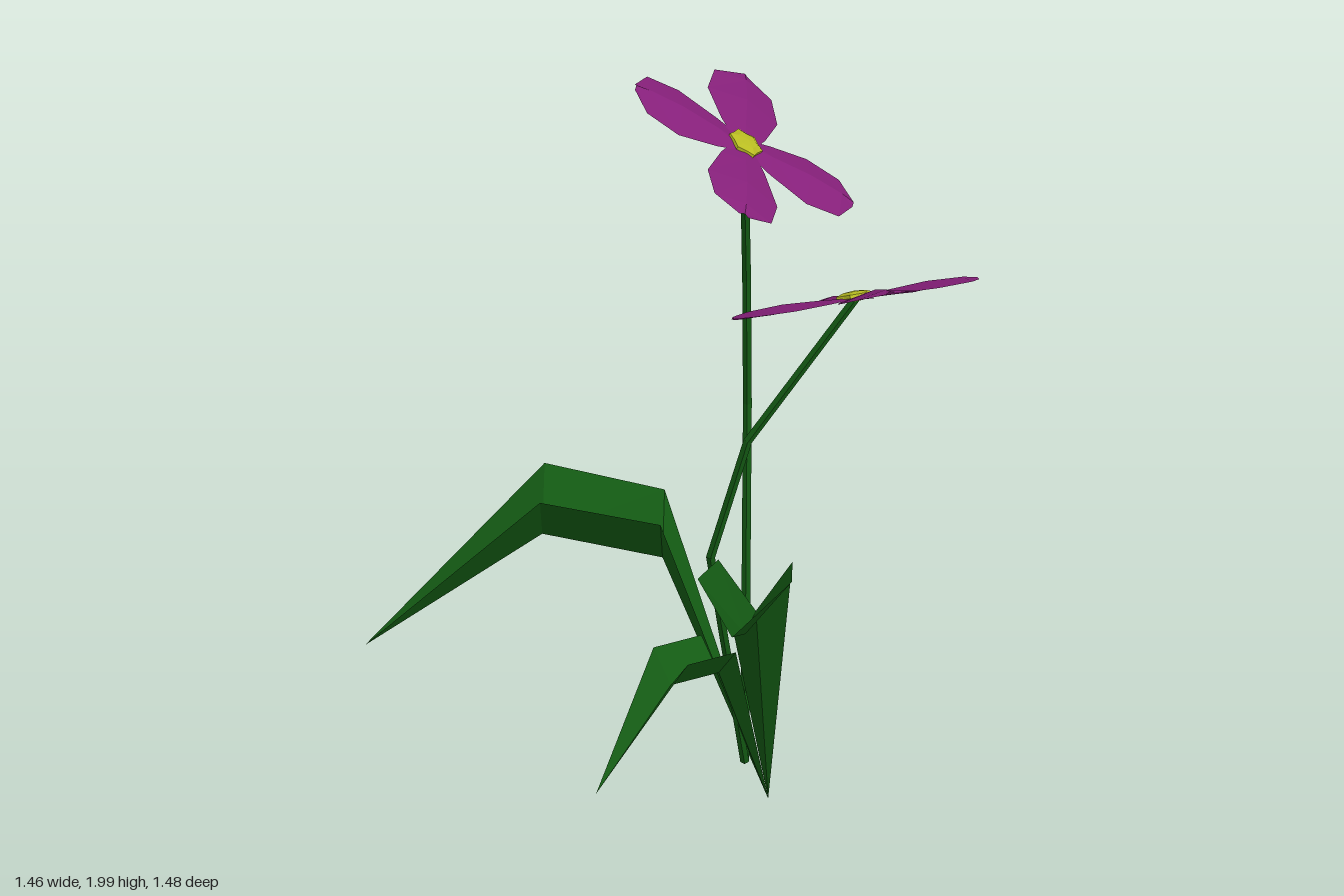
import * as THREE from 'three';

const V = (x, y, z) => new THREE.Vector3(x, y, z);
const material = (color) => new THREE.MeshStandardMaterial({ color, flatShading: true, side: THREE.DoubleSide });
const green = material(0x145c14);
const purple = material(0x86207a);
const yellow = material(0xb8bc22);

// Folded blade: every row is [left edge, midrib, right edge]
function blade(rows, mat, name) {
  const index = [];
  for (let i = 0; i < rows.length - 1; i++) {
    for (let j = 0; j < 2; j++) {
      const a = i * 3 + j;
      index.push(a, a + 1, a + 4, a, a + 4, a + 3);
    }
  }
  const geometry = new THREE.BufferGeometry().setFromPoints(rows.flat());
  geometry.setIndex(index);
  geometry.computeVertexNormals();
  const mesh = new THREE.Mesh(geometry, mat);
  mesh.name = name;
  return mesh;
}

// Leaf: pointed root and tip, with V-shaped sections [midrib, half-width vector, lift] between
const root = V(0.235, 0, -0.47);
function leaf(name, sections, tip) {
  const rows = sections.map(([mid, side, lift]) => {
    const up = mid.clone().add(lift);
    return [up.clone().sub(side), mid, up.clone().add(side)];
  });
  return blade([[root, root, root], ...rows, [tip, tip, tip]], green, name);
}

// Stem: straight thin pieces between the bends
function stem(name, points) {
  const group = new THREE.Group();
  group.name = name;
  for (let i = 0; i < points.length - 1; i++) {
    const along = points[i + 1].clone().sub(points[i]);
    const piece = new THREE.Mesh(new THREE.CylinderGeometry(0.011, 0.011, along.length() + 0.004, 5), green);
    piece.position.copy(points[i]).addScaledVector(along, 0.5);
    piece.quaternion.setFromUnitVectors(V(0, 1, 0), along.normalize());
    piece.name = 'stemPiece';
    group.add(piece);
  }
  return group;
}

// Flower: four creased petals around a bumpy flat centre, built facing local +y
function flower(name, position, right, normal) {
  const group = new THREE.Group();
  group.name = name;
  // [distance from centre, half width, height of the crease]
  const profile = [[0, 0.025, 0], [0.075, 0.062, 0.008], [0.18, 0.098, 0.014], [0.27, 0.08, 0.01], [0.306, 0.012, 0.004]];
  for (let k = 0; k < 4; k++) {
    const rows = profile.map(([d, w, h]) => [V(d, -h * 0.5, -w), V(d, h, 0), V(d, -h * 0.5, w)]);
    const petal = blade(rows, purple, 'petal');
    petal.rotation.y = k * Math.PI / 2;
    group.add(petal);
  }
  const dome = new THREE.SphereGeometry(0.044, 12, 5);
  const p = dome.attributes.position;
  for (let i = 0; i < p.count; i++) {
    const bump = 1 + 0.1 * Math.cos(6 * Math.atan2(p.getZ(i), p.getX(i)));
    p.setXYZ(i, p.getX(i) * bump, p.getY(i) * 0.3 + 0.006, p.getZ(i) * bump);
  }
  dome.computeVertexNormals();
  const centre = new THREE.Mesh(dome, yellow);
  centre.name = 'flowerCentre';
  group.add(centre);
  // Orient the flower from its normal and the direction of its first petal
  const n = normal.clone().normalize();
  const x = right.clone().addScaledVector(n, -right.dot(n)).normalize();
  group.quaternion.setFromRotationMatrix(new THREE.Matrix4().makeBasis(x, n, x.clone().cross(n)));
  group.position.copy(position);
  return group;
}

export function createModel() {
  const model = new THREE.Group();
  model.name = 'floweringPlant';

  // Leaves
  model.add(leaf('frontLeaf', [
    [V(0.23, 0.76, -0.06), V(0.088, 0, 0), V(0, 0.15, 0.02)],
    [V(0.225, 0.9, 0.285), V(0.112, 0, 0), V(0, 0.16, 0.02)],
  ], V(0.22, 1.16, 0.74)));
  model.add(leaf('sideLeaf', [
    [V(-0.015, 0.665, -0.455), V(0, 0, 0.083), V(0, 0.138, 0)],
    [V(-0.3, 0.725, -0.447), V(0, 0, 0.093), V(0, 0.14, 0)],
  ], V(-0.72, 0.415, -0.427)));
  model.add(leaf('smallLeaf', [
    [V(0.125, 0.42, -0.34), V(0.043, 0, 0.038), V(0, 0.08, 0)],
    [V(0.018, 0.45, -0.225), V(0.043, 0, 0.038), V(0, 0.08, 0)],
  ], V(-0.148, 0.26, -0.03)));

  // Stems
  const tallTop = V(0.18, 1.82, -0.435);
  const lowTop = V(0.455, 1.52, -0.243);
  const stemBase = V(0.18, 0.11, -0.46);
  model.add(stem('tallStem', [stemBase, V(0.18, 1.03, -0.57), V(0.18, 1.39, -0.54), tallTop]));
  model.add(stem('lowStem', [stemBase, V(0.11, 0.78, -0.272), V(0.2, 1.12, -0.243), lowTop]));

  // Flowers
  model.add(flower('tallFlower', tallTop, V(0.84, -0.54, -0.07), V(0.54, 0.84, 0)));
  model.add(flower('lowFlower', lowTop, V(0.27, 0, -0.11), V(-0.19, 0.85, -0.49)));
  return model;
}
